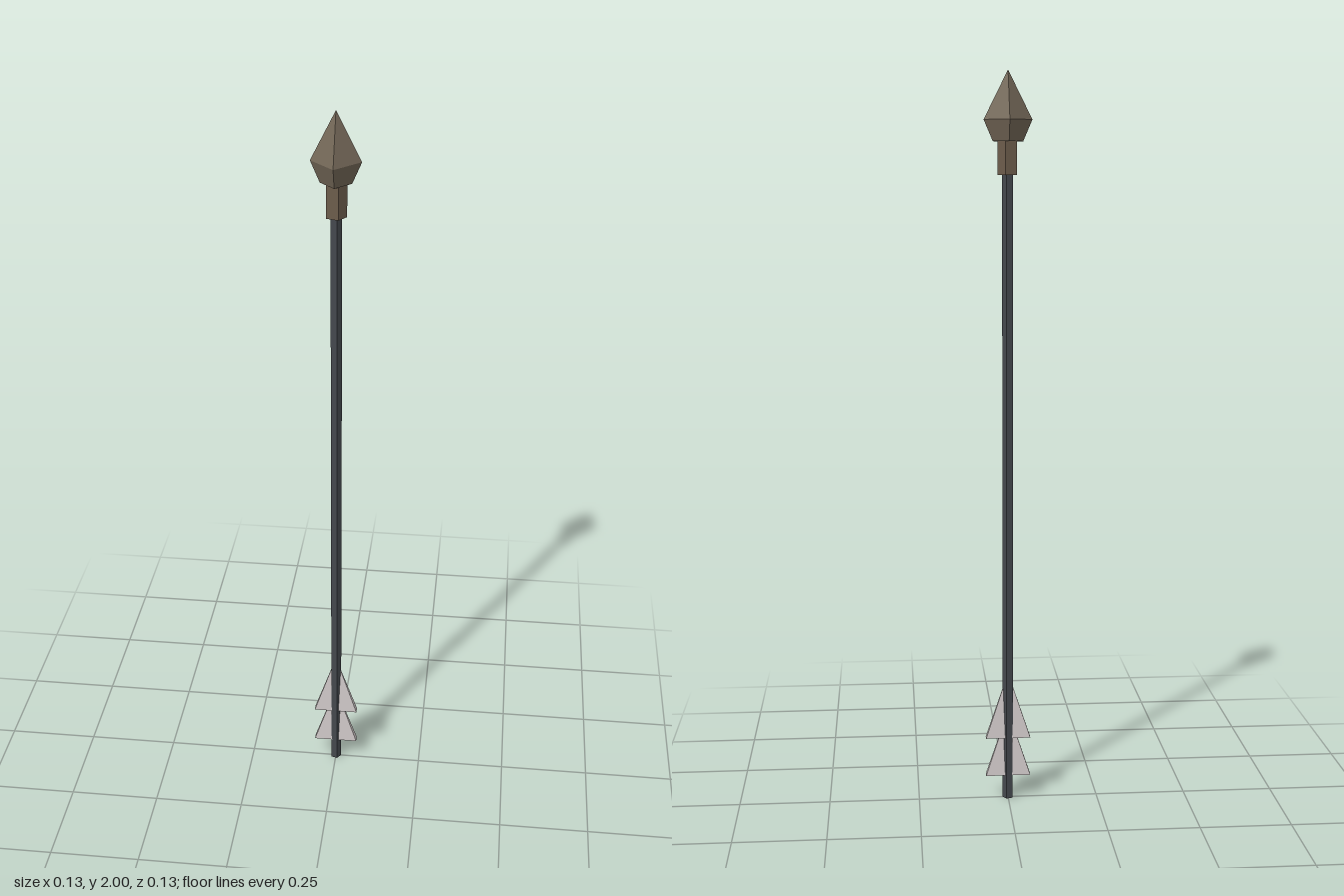
import * as THREE from 'three';

const material = (name, color) => {
  const m = new THREE.MeshStandardMaterial({ color, flatShading: true });
  m.name = name;
  return m;
};

export function createModel() {
  const model = new THREE.Group();
  model.name = 'arrow';
  const iron = material('dark iron', 0x44484d);
  const bronze = material('dull bronze', 0x736757);
  const brown = material('brown binding', 0x6c5c4b);
  const feather = material('pale feather', 0xd0c9c9);

  // Upright prism or frustum spanning y0..y1, with one corner towards +x
  function prism(name, rTop, rBottom, y0, y1, sides, mat, open = false) {
    const geo = new THREE.CylinderGeometry(rTop, rBottom, y1 - y0, sides, 1, open, Math.PI / 2);
    const mesh = new THREE.Mesh(geo, mat);
    mesh.name = name;
    mesh.position.y = (y0 + y1) / 2;
    model.add(mesh);
    return mesh;
  }

  // Five-sided shaft and collar
  prism('shaft', 0.0155, 0.0155, 0, 1.8, 5, iron);
  prism('collar', 0.028, 0.028, 1.73, 1.82, 5, brown);

  // Four-sided head: long point above, short taper below
  prism('headPoint', 0, 0.064, 1.873, 2, 4, bronze, true);
  prism('headBase', 0.064, 0.04, 1.817, 1.873, 4, bronze);

  // Two tiers of fletching: flat pyramids with a rectangular base
  for (const [name, y0, y1] of [['upperFletching', 0.177, 0.365], ['lowerFletching', 0.067, 0.255]]) {
    const fin = prism(name, 0, Math.SQRT2, y0, y1, 4, feather);
    fin.geometry.rotateY(Math.PI / 4);
    fin.geometry.scale(0.062, 1, 0.01);
  }
  return model;
}
